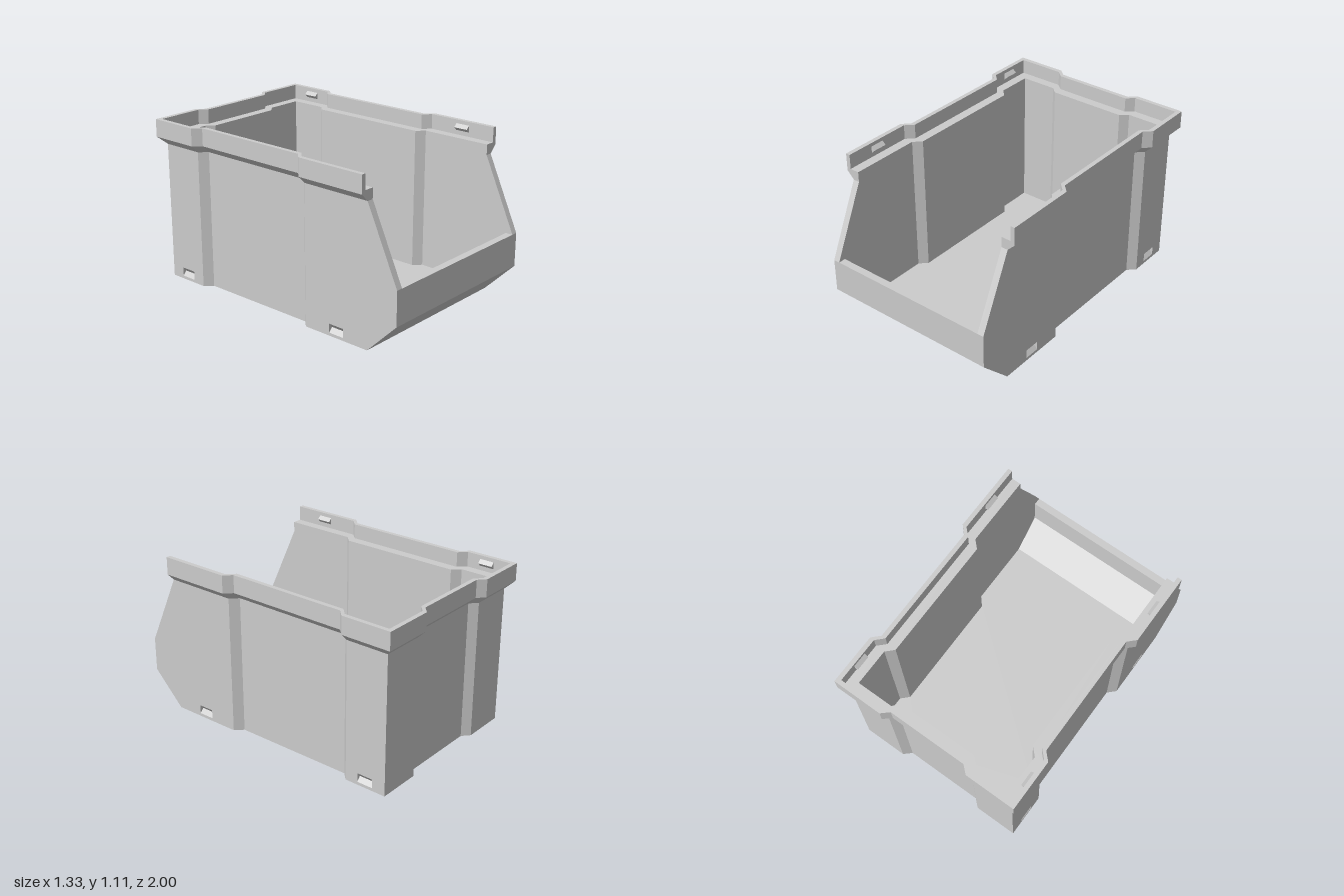
import * as THREE from 'three';

const grey = new THREE.MeshStandardMaterial({ color: 0xcccccc, flatShading: true });
const greyDouble = new THREE.MeshStandardMaterial({ color: 0xcccccc, flatShading: true, side: THREE.DoubleSide });

const OPEN_Z = 0.775;   // where the rim ends towards the front
const BODY = 0.05, RIM_IN = 0.03, INNER = 0.095; // insets from the rim's outer line
const SLOT_Z = [0.535, -0.8], SLOT_HALF = 0.055;

// Plan of the rim: x, z, and which way an inset moves the point
const halfPlan = [
  [0.665, OPEN_Z, 1, 0], [0.665, 0.285, 1, 0], [0.615, 0.235, 1, 0], [0.615, -0.605, 1, 0],
  [0.665, -0.655, 1, 0], [0.665, -1, 1, 1], [0.32, -1, 0, 1], [0.27, -0.955, 0, 1],
];
const plan = [...halfPlan, ...halfPlan.slice().reverse().map(([x, z, i, k]) => [-x, z, -i, k])];
const inset = ([x, z, i, k], d) => [x - i * d, z + k * d];

// Wall profile: inset, height, from the outside bottom over the rim to the floor
const profile = [
  [BODY, 0], [BODY, 0.94], [0, 0.99], [0, 1.11],
  [RIM_IN, 1.11], [RIM_IN, 1.01], [INNER, 1.01], [INNER, 0.045],
];

const shapeOf = (pts) => new THREE.Shape(pts.map(([x, y]) => new THREE.Vector2(x, y)));
const extrude = (pts, depth) => new THREE.ExtrudeGeometry(shapeOf(pts), { depth, bevelEnabled: false });

function fromQuads(quads) {
  const pos = [];
  for (const [a, b, c, d] of quads) pos.push(...a, ...b, ...c, ...a, ...c, ...d);
  const g = new THREE.BufferGeometry();
  g.setAttribute('position', new THREE.Float32BufferAttribute(pos, 3));
  g.computeVertexNormals();
  return g;
}

// Wall and rim swept round the plan, leaving out the panels that carry slots
function wallGeometry() {
  const at = (i, j) => {
    const [x, z] = inset(plan[i], profile[j][0]);
    return [x, profile[j][1], z];
  };
  const last = plan.length - 2;
  const slotted = [0, 4, last - 4, last];
  const quads = [];
  for (let i = 0; i <= last; i++) {
    for (let j = 0; j < profile.length - 1; j++) {
      if (j === 0 && slotted.includes(i)) continue;
      quads.push([at(i, j), at(i + 1, j), at(i + 1, j + 1), at(i, j + 1)]);
    }
  }
  return fromQuads(quads);
}

// Outer panel with a rectangular opening, on side s
function slottedPanel(s, z0, z1, slotZ) {
  const rect = (a, b, y0, y1) => [[a, y0], [b, y0], [b, y1], [a, y1]].map(([z, y]) => [-s * z, y]);
  const shape = shapeOf(rect(z0, z1, 0, 0.94));
  shape.holes.push(shapeOf(rect(slotZ - SLOT_HALF, slotZ + SLOT_HALF, 0.02, 0.08)));
  return new THREE.ShapeGeometry(shape).rotateY(s * Math.PI / 2).translate(s * 0.615, 0, 0);
}

// V-shaped pocket behind the opening
function pocket(s, z) {
  const a = z - SLOT_HALF, b = z + SLOT_HALF, xo = s * 0.615, xi = s * 0.59;
  const end = (e) => [[xo, 0.02, e], [xi, 0.05, e], [xo, 0.08, e], [xo, 0.08, e]];
  return fromQuads([
    [[xo, 0.02, a], [xo, 0.02, b], [xi, 0.05, b], [xi, 0.05, a]],
    [[xi, 0.05, a], [xi, 0.05, b], [xo, 0.08, b], [xo, 0.08, a]],
    end(a), end(b),
  ]);
}

export function createModel() {
  const group = new THREE.Group();
  const add = (name, geometry, material = grey) => {
    const mesh = new THREE.Mesh(geometry, material);
    mesh.name = name;
    group.add(mesh);
  };

  add('wallAndRim', wallGeometry());

  // Floor, top and underside
  const floorTop = plan.map((p) => inset(p, INNER)).map(([x, z]) => [x, -z]);
  add('floor', new THREE.ShapeGeometry(shapeOf(floorTop)).rotateX(-Math.PI / 2).translate(0, 0.045, 0));
  const floorBottom = plan.map((p) => inset(p, BODY));
  add('underside', new THREE.ShapeGeometry(shapeOf(floorBottom)).rotateX(Math.PI / 2));

  // Front lip with sloping underside
  const lip = [[0.755, 0.045], [OPEN_Z, 0], [0.78, 0], [1, 0.22], [1, 0.45], [0.95, 0.45], [0.95, 0.24]];
  add('frontLip', extrude(lip.map(([z, y]) => [-z, y]), 1.14).rotateY(Math.PI / 2).translate(-0.57, 0, 0));

  for (const s of [1, -1]) {
    const side = s > 0 ? 'left' : 'right';

    // Cut-away side cheek beside the opening
    const cheek = [[OPEN_Z, 0], [0.78, 0], [1, 0.22], [1, 0.45], [OPEN_Z, 0.94]];
    add(side + 'Cheek', extrude(cheek.map(([z, y]) => [-s * z, y]), 0.045)
      .rotateY(s * Math.PI / 2).translate(s * 0.57, 0, 0));

    // End of the rim
    const cap = [...profile.slice(1, 7), [INNER, 0.94]].map(([d, y]) => [s * (0.665 - d), y]);
    add(side + 'RimEnd', new THREE.ShapeGeometry(shapeOf(cap)).translate(0, 0, OPEN_Z));

    // Slotted panels
    add(side + 'FrontPanel', slottedPanel(s, 0.285, OPEN_Z, SLOT_Z[0]));
    add(side + 'BackPanel', slottedPanel(s, -0.95, -0.655, SLOT_Z[1]));

    // Stacking slots low on the outside, matching pegs inside the rim
    for (const z of SLOT_Z) {
      add(side + 'Slot', pocket(s, z), greyDouble);
      const peg = [[s * 0.64, 1.035], [s * 0.61, 1.0625], [s * 0.64, 1.09]];
      add(side + 'Peg', extrude(peg, 2 * SLOT_HALF - 0.01).translate(0, 0, z - SLOT_HALF + 0.005));
    }
  }
  return group;
}
